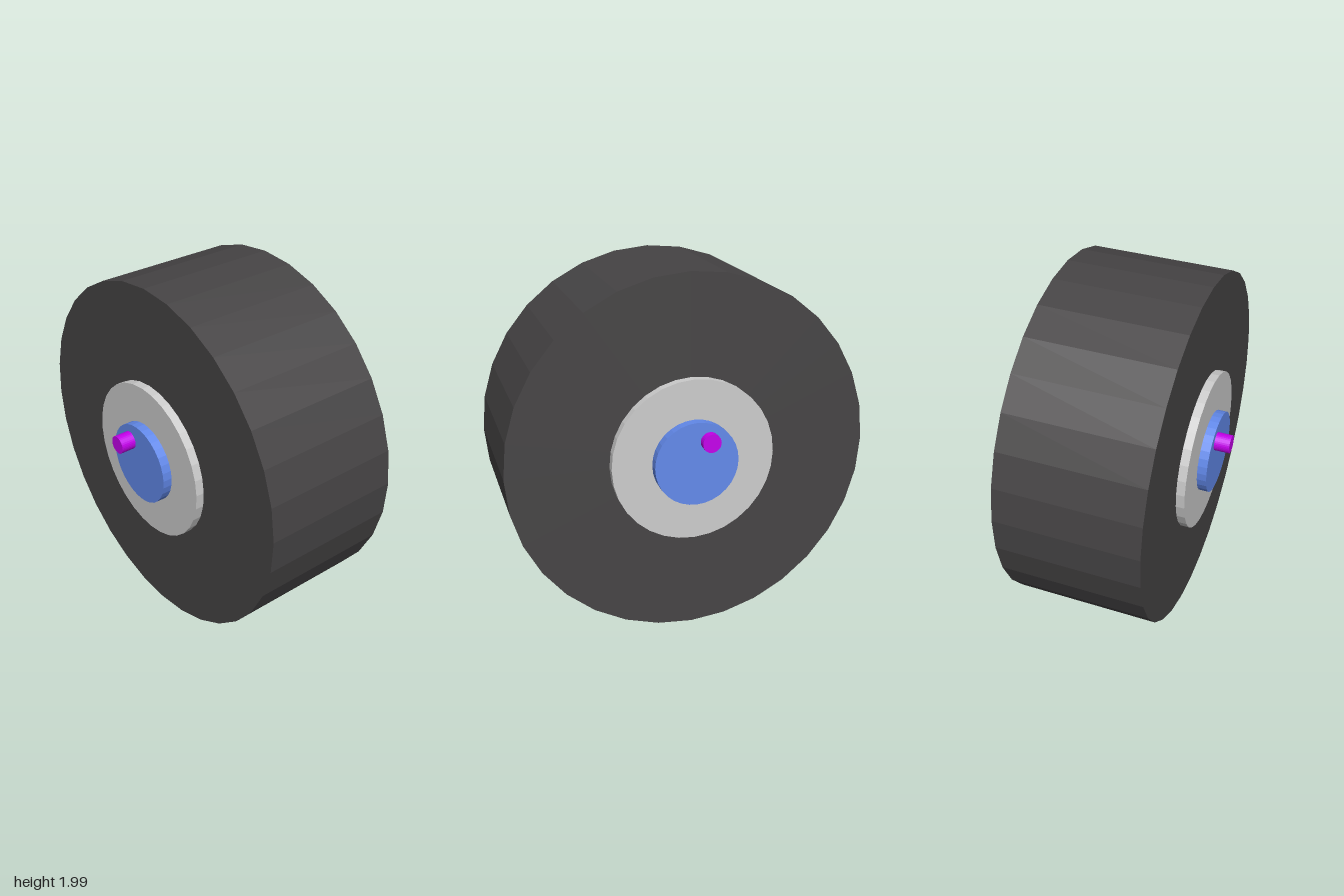
import * as THREE from 'three';

// Faceted disc lying along the x axle
function disc(name, radius, width, color, x = 0, y = 0, z = 0) {
  const geometry = new THREE.CylinderGeometry(radius, radius, width, 32);
  geometry.rotateZ(-Math.PI / 2);
  const material = new THREE.MeshStandardMaterial({ color, flatShading: true });
  const mesh = new THREE.Mesh(geometry, material);
  mesh.name = name;
  mesh.position.set(x, y, z);
  return mesh;
}

export function createModel() {
  const model = new THREE.Group();
  model.name = 'wheel';

  // Whole wheel leans slightly about z
  const wheel = new THREE.Group();
  wheel.name = 'tiltedWheel';
  wheel.position.set(0.023, 1.0025, 0);
  wheel.rotation.z = THREE.MathUtils.degToRad(1.67);
  model.add(wheel);

  // Nested discs, each narrower and longer than the last
  wheel.add(
    disc('tire', 0.986, 0.788, 0x464445),
    disc('hub', 0.443, 0.882, 0xcccccc),
    disc('hubCap', 0.2275, 0.987, 0x6289ea),
    // Off-centre pin running right through the wheel
    disc('axlePin', 0.05, 1.11, 0xc300ea, -0.022, 0.12, -0.068),
  );
  return model;
}
